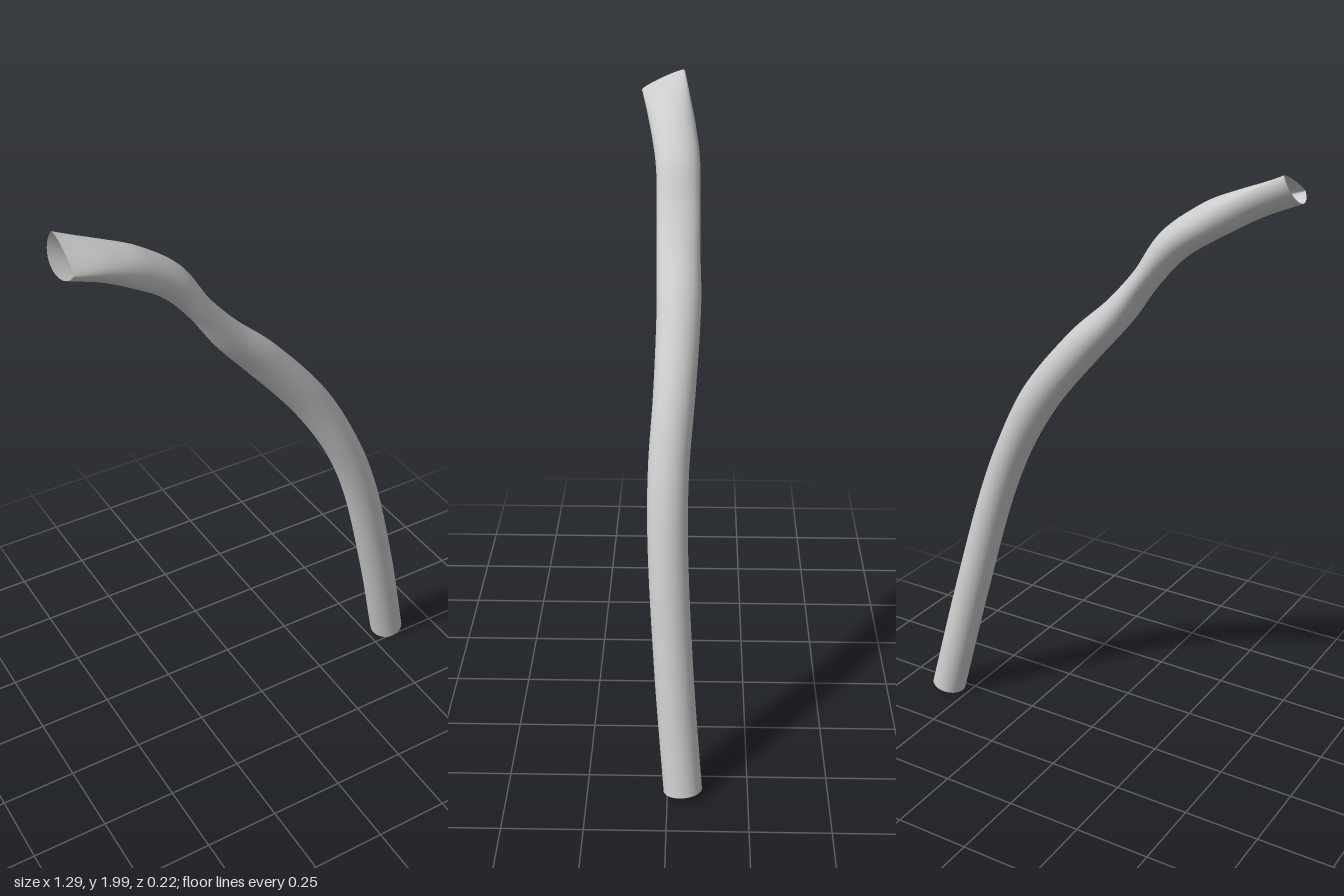
import * as THREE from 'three';

// Stations along the tube: centre x, y, z, then half width, upper and lower half thickness, roll
const STATIONS = [
  [0.58, 0.02, -0.048, 0.06, 0.059, 0.059, 0],
  [0.49, 0.4, -0.018, 0.06, 0.058, 0.058, 0],
  [0.38, 0.8, 0.003, 0.061, 0.056, 0.056, 0],
  [0.3, 1.0, 0.002, 0.062, 0.057, 0.057, 0],
  [0.185, 1.2, -0.013, 0.064, 0.062, 0.062, 0],
  [0.015, 1.405, -0.023, 0.068, 0.06, 0.06, 0],
  [-0.11, 1.535, -0.02, 0.068, 0.049, 0.049, 0],
  [-0.2, 1.65, -0.018, 0.068, 0.04, 0.04, 0.02],
  [-0.29, 1.765, -0.015, 0.07, 0.051, 0.051, 0.07],
  [-0.4, 1.845, 0.0, 0.072, 0.053, 0.055, 0.15],
  [-0.51, 1.91, 0.02, 0.074, 0.034, 0.055, 0.28],
  [-0.625, 1.963, 0.04, 0.078, 0.01, 0.055, 0.42],
];
const RINGS = 110;
const SIDES = 40;

function curveOf(pick) {
  return new THREE.CatmullRomCurve3(STATIONS.map((s) => new THREE.Vector3(...pick(s))));
}

function tubeGeometry() {
  const path = curveOf((s) => s.slice(0, 3));
  const sizes = curveOf((s) => s.slice(3, 6));
  const rolls = new THREE.SplineCurve(STATIONS.map((s, i) => new THREE.Vector2(i, s[6])));
  const positions = [];
  const index = [];
  for (let i = 0; i <= RINGS; i++) {
    const t = i / RINGS;
    const centre = path.getPoint(t);
    const tangent = path.getTangent(t);
    const size = sizes.getPoint(t);
    // Cross-section axes, rolled about the path
    const side = new THREE.Vector3(0, 0, 1).addScaledVector(tangent, -tangent.z).normalize();
    side.applyAxisAngle(tangent, -rolls.getPoint(t).y);
    const up = new THREE.Vector3().crossVectors(tangent, side);
    for (let j = 0; j < SIDES; j++) {
      const a = (j / SIDES) * Math.PI * 2;
      const h = Math.sin(a) * (Math.sin(a) > 0 ? size.y : size.z);
      const p = centre.clone().addScaledVector(side, Math.cos(a) * size.x).addScaledVector(up, h);
      positions.push(p.x, p.y, p.z);
      if (i < RINGS) {
        const k = (j + 1) % SIDES;
        const r = i * SIDES;
        index.push(r + j, r + k, r + SIDES + j, r + k, r + SIDES + k, r + SIDES + j);
      }
    }
  }
  const geometry = new THREE.BufferGeometry();
  geometry.setAttribute('position', new THREE.Float32BufferAttribute(positions, 3));
  geometry.setIndex(index);
  geometry.computeVertexNormals();
  return geometry;
}

export function createModel() {
  const group = new THREE.Group();
  group.name = 'curvedTube';
  // Open-ended tube with a pinched neck and a flattened upper mouth
  const material = new THREE.MeshStandardMaterial({ color: 0xcccccc, side: THREE.DoubleSide });
  const tube = new THREE.Mesh(tubeGeometry(), material);
  tube.name = 'tubeWall';
  group.add(tube);
  return group;
}
